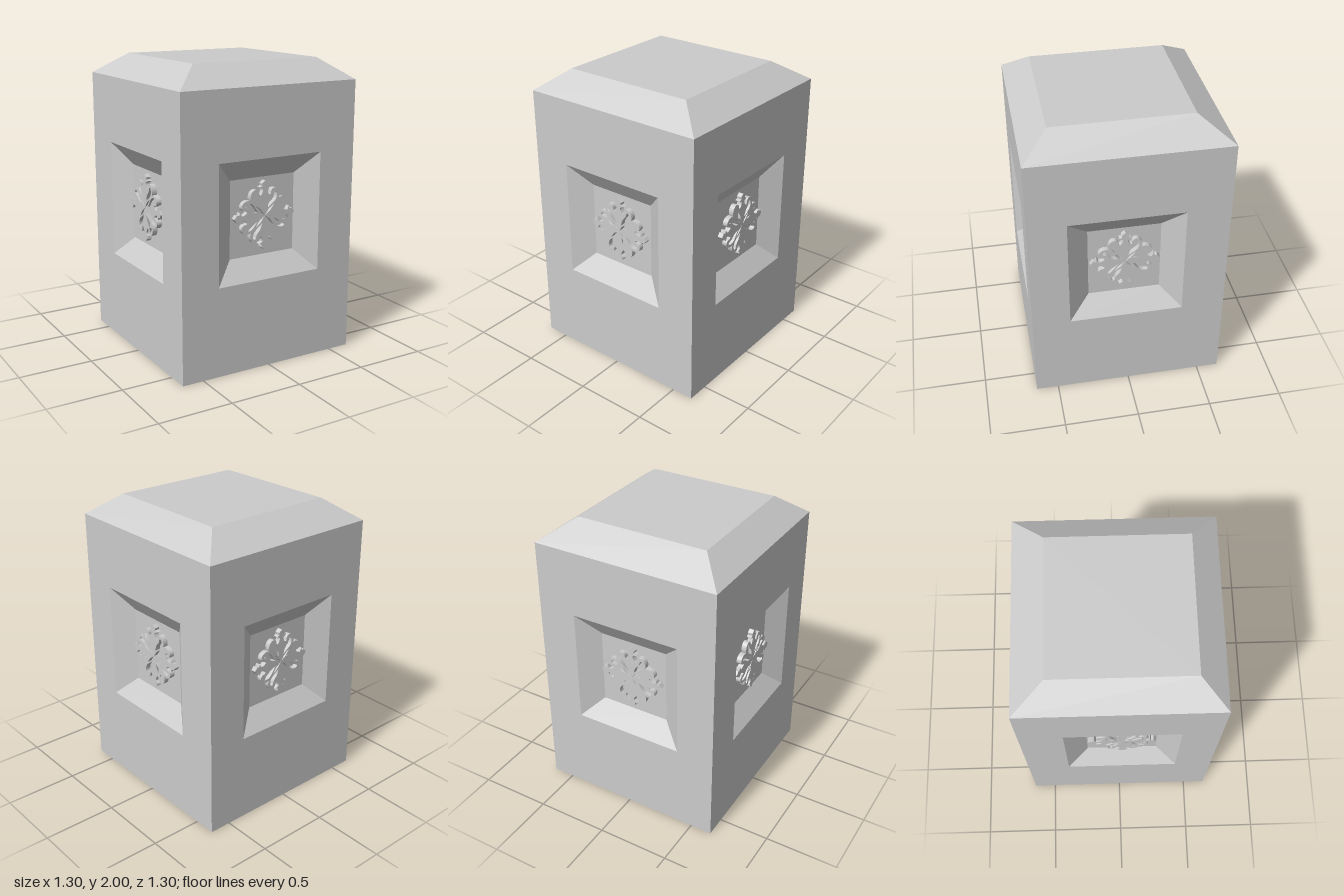
import * as THREE from 'three';

const HALF = 0.65, WALL = 1.86, RECESS = 0.1;
const material = new THREE.MeshStandardMaterial({ color: 0xcccccc, flatShading: true });

// Nested rectangles [left, right, bottom, top, depth] joined by sloping strips; the last is closed.
function nestedPanel(name, rects) {
  const loops = rects.map(([l, r, b, t, d]) => [[l, b, d], [r, b, d], [r, t, d], [l, t, d]]);
  const pos = [];
  const quad = (a, b, c, d) => [a, b, c, a, c, d].forEach((p) => pos.push(...p));
  for (let k = 0; k + 1 < loops.length; k++) {
    for (let i = 0; i < 4; i++) {
      const j = (i + 1) % 4;
      quad(loops[k][i], loops[k][j], loops[k + 1][j], loops[k + 1][i]);
    }
  }
  quad(...loops[loops.length - 1]);
  const geo = new THREE.BufferGeometry();
  geo.setAttribute('position', new THREE.Float32BufferAttribute(pos, 3));
  geo.computeVertexNormals();
  const mesh = new THREE.Mesh(geo, material);
  mesh.name = name;
  return mesh;
}

// Half of one leaf: scrolled lobe with an open centre and a barbed tip.
function leafGeometry(side) {
  const s = 0.0053;
  const draw = (path, start, steps) => {
    const p = (v) => v.map((n, i) => n * s * (i % 2 ? 1 : side));
    path.moveTo(...p(start));
    for (const step of steps) {
      if (step.length === 6) path.bezierCurveTo(...p(step));
      else path.lineTo(...p(step));
    }
    return path;
  };
  const shape = draw(new THREE.Shape(), [0, 0], [
    [3, 4],
    [6, 12, 22, 14, 21, 25],
    [20, 35, 9, 36, 8.5, 28],
    [8, 24, 5, 25, 3, 31],
    [3, 33], [7.5, 35.5], [4, 37], [4.5, 40], [0, 43.5],
  ]);
  shape.holes.push(draw(new THREE.Path(), [4, 9], [
    [9, 14, 18, 16, 17.5, 25],
    [17, 30, 13, 30, 12.5, 26],
    [11, 19, 5, 20, 4, 9],
  ]));
  return new THREE.ExtrudeGeometry(shape, { depth: 0.035, bevelEnabled: false, curveSegments: 10 });
}

const leafHalves = [leafGeometry(1), leafGeometry(-1)];

// Four leaves set crosswise
function rosette() {
  const group = new THREE.Group();
  group.name = 'rosette';
  for (let i = 0; i < 4; i++) {
    const leaf = new THREE.Group();
    leaf.name = 'leaf';
    for (const geo of leafHalves) {
      const half = new THREE.Mesh(geo, material);
      half.name = 'leafHalf';
      leaf.add(half);
    }
    leaf.rotation.z = i * Math.PI / 2;
    group.add(leaf);
  }
  return group;
}

export function createModel() {
  const model = new THREE.Group();
  model.name = 'carvedBlock';

  // Four walls, each with a bevelled recess and a rosette
  const sides = [
    ['frontWall', -0.387, 0.381],
    ['leftWall', -0.398, 0.362],
    ['backWall', -0.381, 0.387],
    ['rightWall', -0.362, 0.398],
  ];
  sides.forEach(([name, l, r], i) => {
    const side = new THREE.Group();
    side.name = name;
    side.add(nestedPanel('recessedWall', [
      [-HALF, HALF, 0, WALL, HALF],
      [l, r, 0.605, 1.405, HALF],
      [l + 0.14, r - 0.14, 0.745, 1.265, HALF - RECESS],
    ]));
    const ornament = rosette();
    ornament.position.set((l + r) / 2, 1.015, HALF - RECESS);
    side.add(ornament);
    side.rotation.y = i * Math.PI / 2;
    model.add(side);
  });

  // Chamfered top, slightly off centre
  const cap = nestedPanel('chamferedTop', [
    [-HALF, HALF, -HALF, HALF, WALL],
    [-0.465, 0.457, -0.474, 0.44, 2],
  ]);
  cap.rotation.x = -Math.PI / 2;

  const base = nestedPanel('base', [[-HALF, HALF, -HALF, HALF, 0]]);
  base.rotation.x = Math.PI / 2;

  model.add(cap, base);
  return model;
}
